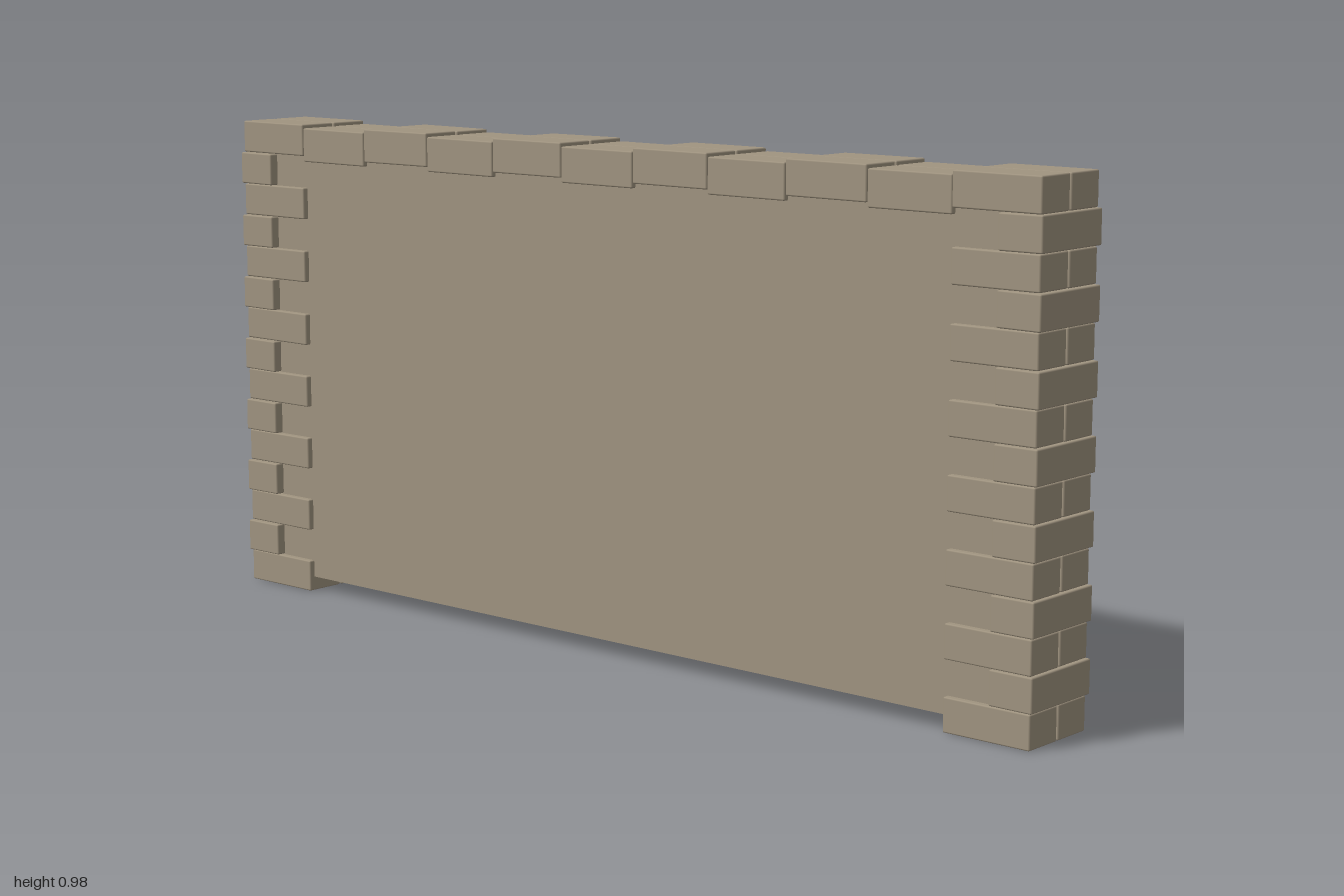
import * as THREE from 'three';
import { RoundedBoxGeometry } from 'three/addons/geometries/RoundedBoxGeometry.js';

const stone = new THREE.MeshStandardMaterial({ color: 0xa09480, side: THREE.DoubleSide });
stone.name = 'warmStone';

// Small repeatable variation for hand-laid bricks
let seed = 7;
const jitter = (amount) => {
  seed = (seed * 16807) % 2147483647;
  return (seed / 2147483647 - 0.5) * 2 * amount;
};

// Brick given by its extents, with a slight bevel and a slight tilt
function brick(name, x0, x1, y0, y1, z0, z1, tilt = 0) {
  const geometry = new RoundedBoxGeometry(x1 - x0, y1 - y0, z1 - z0, 1, 0.003);
  const mesh = new THREE.Mesh(geometry, stone);
  mesh.name = name;
  mesh.position.set((x0 + x1) / 2, (y0 + y1) / 2, (z0 + z1) / 2);
  mesh.rotation.z = jitter(tilt);
  return mesh;
}

export function createModel() {
  const wall = new THREE.Group();
  wall.name = 'brickEdgedWall';

  // Plain wall faces, open along the bottom
  for (const side of [1, -1]) {
    const face = new THREE.Mesh(new THREE.PlaneGeometry(1.82, 0.92), stone);
    face.name = side > 0 ? 'frontPanel' : 'backPanel';
    face.position.set(0, 0.49, side * 0.075);
    if (side < 0) face.rotation.y = Math.PI;
    wall.add(face);
  }

  // Corner columns: pairs of long bricks alternate with crosswise bricks
  const rows = 15;
  const rowHeight = 0.985 / rows;
  for (const side of [1, -1]) {
    const column = new THREE.Group();
    column.name = side > 0 ? 'leftColumn' : 'rightColumn';
    for (let row = 0; row < rows; row++) {
      const y0 = row * rowHeight + 0.0005;
      const y1 = (row + 1) * rowHeight - 0.0005;
      if (row % 2 === 0) {
        const [x0, x1] = side > 0 ? [0.812, 0.993] : [-0.996, -0.815];
        const tilt = row === 0 || row === rows - 1 ? 0 : 0.006;
        column.add(brick('frontCornerBrick', x0, x1, y0, y1, 0.002, 0.087, tilt));
        column.add(brick('backCornerBrick', x0, x1, y0, y1, -0.087, -0.002, tilt));
      } else {
        const [x0, x1] = side > 0 ? [0.908, 0.997] : [-0.998, -0.907];
        const [z0, z1] = side > 0 ? [-0.094, 0.089] : [-0.089, 0.094];
        column.add(brick('crossBrick', x0, x1, y0, y1, z0, z1, 0.008));
      }
    }
    wall.add(column);
  }

  // Coping: nine pairs of bricks, every other pair set a little lower
  const coping = new THREE.Group();
  coping.name = 'coping';
  const length = 0.1808;
  for (let i = 0; i < 9; i++) {
    const x0 = -0.815 + i * length + 0.001;
    const x1 = x0 + length - 0.002;
    const low = i % 2 === 0;
    const [y0, y1] = low ? [0.908, 0.977] : [0.917, 0.984];
    coping.add(brick('frontCopingBrick', x0, x1, y0, y1, 0.002, 0.086, 0.005));
    coping.add(brick('backCopingBrick', x0, x1, y0, y1, -0.088, -0.002, 0.005));
  }
  wall.add(coping);
  return wall;
}
